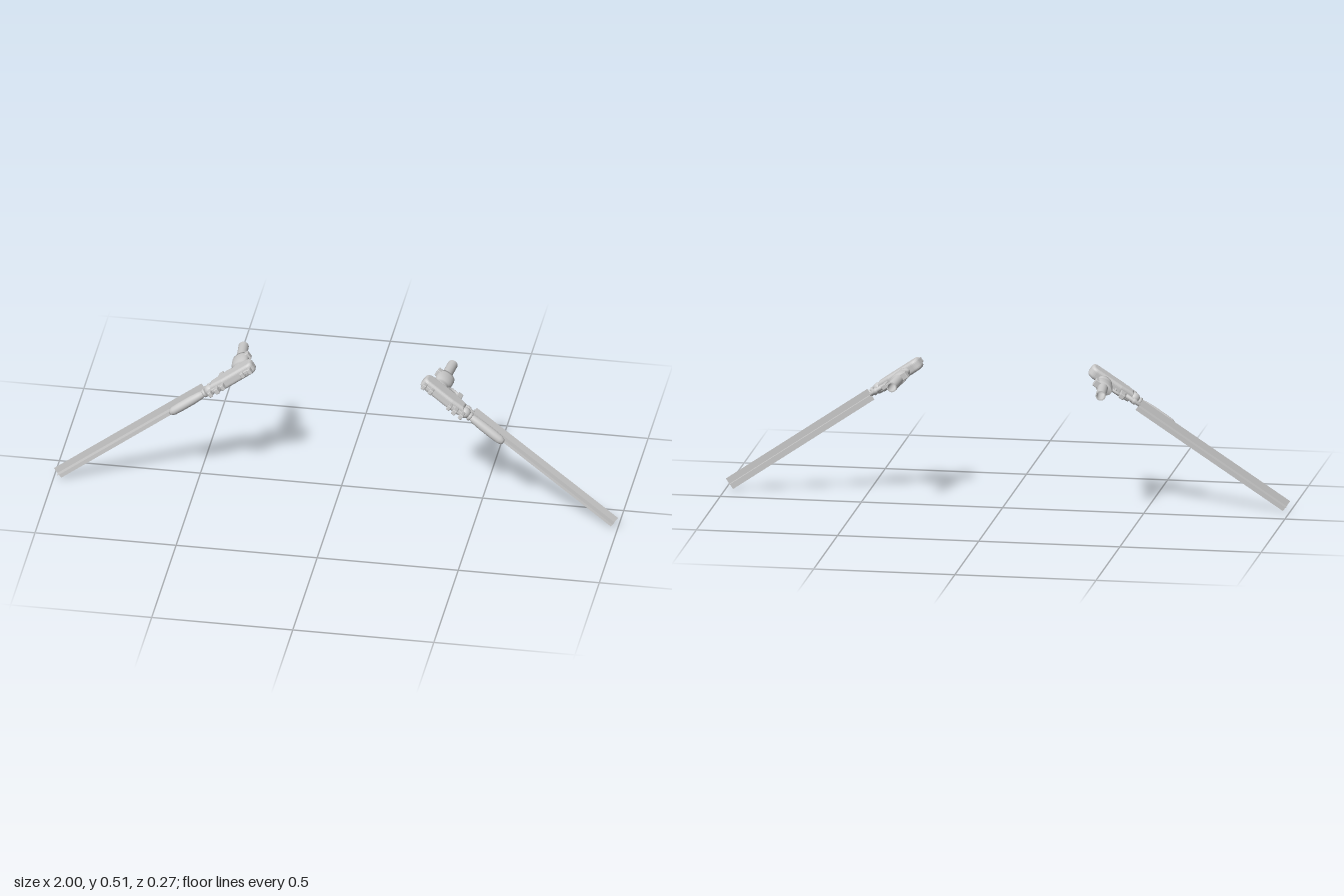
import * as THREE from 'three';
import { RoundedBoxGeometry } from 'three/addons/geometries/RoundedBoxGeometry.js';

const grey = new THREE.MeshStandardMaterial({ color: 0xcccccc });
const thin = new THREE.MeshStandardMaterial({ color: 0xcccccc, side: THREE.DoubleSide });

// One weapon: x runs down the blade, -z is the barrel, y is the thickness.
function createWeapon() {
  const weapon = new THREE.Group();
  const add = (name, geometry, x = 0, y = 0, z = 0, material = grey) => {
    const mesh = new THREE.Mesh(geometry, material);
    mesh.name = name;
    mesh.position.set(x, y, z);
    weapon.add(mesh);
    return mesh;
  };
  const block = (name, x, z, sx, sy, sz, r = 0.003) =>
    add(name, new RoundedBoxGeometry(sx, sy, sz, 2, r), x, 0, z);
  const lathe = (points) =>
    new THREE.LatheGeometry(points.map(([r, h]) => new THREE.Vector2(r, h)), 28);

  // Blade: two crossed thin strips
  const length = 0.628, width = 0.045;
  add('bladeFlat', new THREE.PlaneGeometry(length, width), length / 2, 0, 0, thin);
  add('bladeCross', new THREE.PlaneGeometry(length, width).rotateX(Math.PI / 2), length / 2, 0, 0, thin);

  // Receiver: rounded slab
  const outline = new THREE.Shape();
  outline.moveTo(-0.200, 0.024);
  outline.quadraticCurveTo(-0.198, 0.013, -0.185, 0.012);
  outline.lineTo(-0.085, 0.012);
  outline.lineTo(-0.045, 0.020);
  outline.lineTo(-0.045, 0.046);
  outline.lineTo(-0.085, 0.051);
  outline.lineTo(-0.185, 0.050);
  outline.quadraticCurveTo(-0.200, 0.050, -0.200, 0.042);
  outline.closePath();
  const receiver = new THREE.ExtrudeGeometry(outline, {
    depth: 0.016, bevelEnabled: true, bevelThickness: 0.012, bevelSize: 0.01, bevelSegments: 5, curveSegments: 6,
  });
  receiver.translate(0, 0, -0.008).rotateX(Math.PI / 2);
  add('receiver', receiver);

  // Barrel collar (flattened) and hollow barrel, both along -z
  const collar = lathe([[0, -0.012], [0.021, -0.012], [0.021, 0.004], [0.0185, 0.014], [0.0195, 0.024],
    [0.0245, 0.034], [0.0255, 0.055], [0.0255, 0.07], [0.0245, 0.081], [0, 0.081]]);
  collar.rotateX(-Math.PI / 2);
  add('barrelCollar', collar, -0.144).scale.set(1.3, 0.82, 1);
  const barrel = lathe([[0.018, 0.07], [0.018, 0.171], [0.018, 0.171], [0.014, 0.171], [0.014, 0.171],
    [0.014, 0.11], [0, 0.11]]);
  barrel.rotateX(-Math.PI / 2);
  add('barrel', barrel, -0.146, 0, 0, thin);
  block('sight', -0.168, -0.07, 0.03, 0.026, 0.024);

  // Trigger guard, trigger and the block below it
  const guardPath = new THREE.CatmullRomCurve3([[-0.118, 0.006], [-0.118, -0.02], [-0.108, -0.031],
    [-0.088, -0.033], [-0.076, -0.028]].map(([x, z]) => new THREE.Vector3(x, 0, z)));
  add('triggerGuard', new THREE.TubeGeometry(guardPath, 20, 0.005, 8));
  block('trigger', -0.098, -0.006, 0.006, 0.008, 0.022, 0.002);
  block('guardBlock', -0.07, -0.016, 0.02, 0.018, 0.044);

  // Rear catches and pins
  for (const [x, z, sx, sz] of [[-0.196, 0.068, 0.014, 0.024], [-0.166, 0.067, 0.014, 0.022],
    [-0.082, 0.072, 0.014, 0.026], [-0.058, 0.066, 0.016, 0.044], [-0.03, 0.068, 0.014, 0.034]]) {
    block('rearCatch', x, z, sx, 0.02, sz);
  }
  block('rearRail', -0.181, 0.061, 0.04, 0.014, 0.014);
  block('lowerRail', -0.055, 0.056, 0.06, 0.015, 0.016);

  // Joint ball, neck ring and handle along +x
  add('gripJoint', new THREE.SphereGeometry(0.02, 24, 16), -0.024, 0, 0.037);
  const ring = lathe([[0, 0], [0.014, 0], [0.016, 0.003], [0.016, 0.009], [0.012, 0.012], [0, 0.012]]);
  add('gripRing', ring.rotateZ(-Math.PI / 2), -0.008, 0, 0.037);
  const handle = lathe([[0, 0], [0.011, 0], [0.0145, 0.018], [0.0165, 0.05], [0.0165, 0.1],
    [0.0155, 0.128], [0.0125, 0.14], [0.007, 0.146], [0, 0.147]]);
  add('handle', handle.rotateZ(-Math.PI / 2), 0, 0, 0.037);

  // Blade emitter between receiver and blade
  const emitter = lathe([[0, -0.055], [0.008, -0.055], [0.008, -0.028], [0.011, -0.026], [0.011, -0.016],
    [0.007, -0.012], [0.007, 0.004], [0, 0.004]]);
  add('bladeEmitter', emitter.rotateZ(-Math.PI / 2), 0, 0, 0.004);
  return weapon;
}

export function createModel() {
  const model = new THREE.Group();
  // Each blade slopes down and outward from its hilt to its tip
  for (const [name, side] of [['leftWeapon', 1], ['rightWeapon', -1]]) {
    const along = new THREE.Vector3(side * 0.512, -0.3585, 0.064).normalize();
    const back = new THREE.Vector3(0, 0, 1).addScaledVector(along, -along.z).normalize();
    const across = new THREE.Vector3().crossVectors(back, along);
    const weapon = createWeapon();
    weapon.name = name;
    weapon.quaternion.setFromRotationMatrix(new THREE.Matrix4().makeBasis(along, across, back));
    weapon.position.set(side * 0.475, 0.378, 0.05);
    model.add(weapon);
  }
  return model;
}
